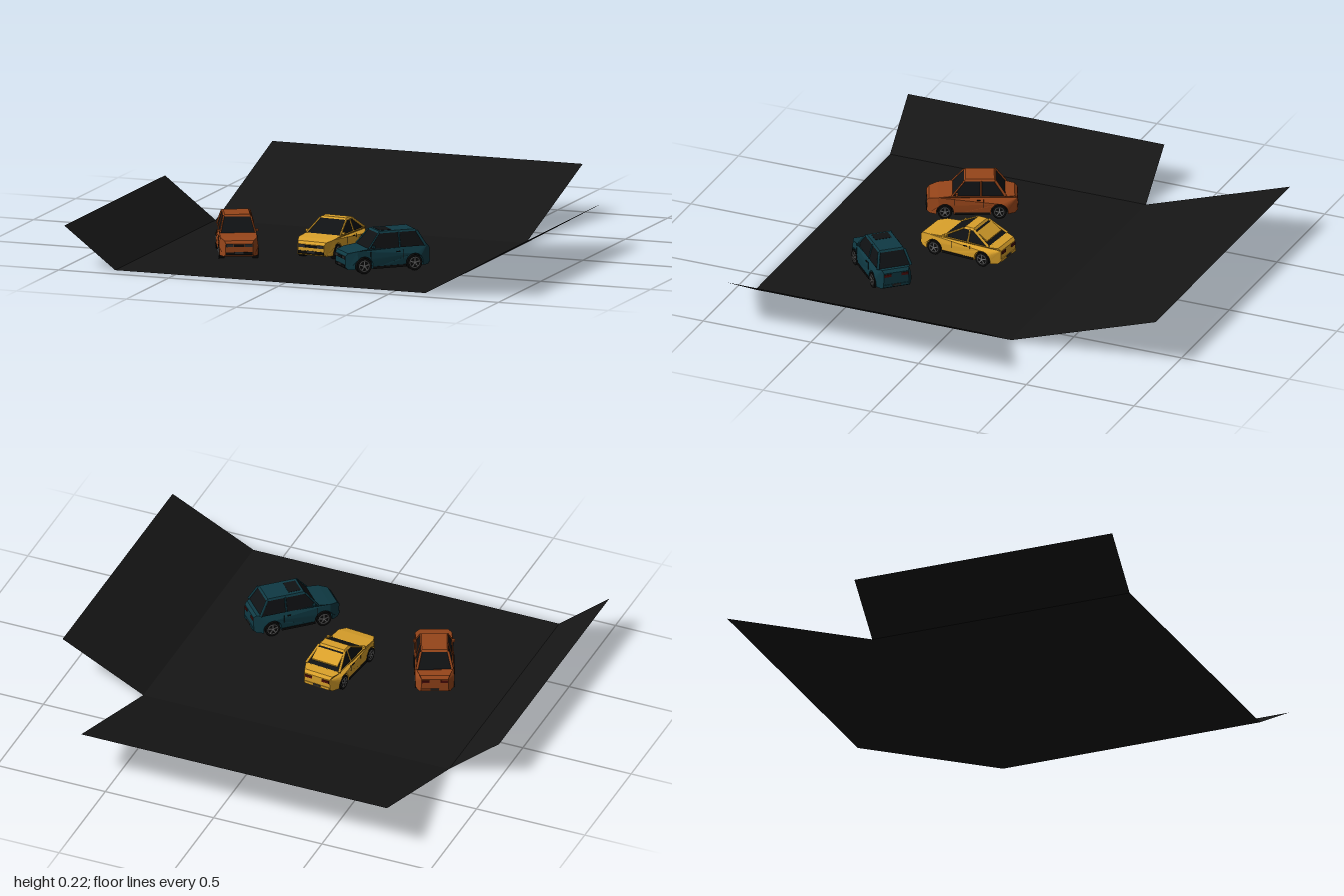
import * as THREE from 'three';

const mat = (color, extra = {}) => new THREE.MeshStandardMaterial({ color, ...extra });
const dark = mat(0x0c0c0c), glass = mat(0x101214), metal = mat(0x777777), lamp = mat(0x2a2a2a), red = mat(0x4a0c08);
const floorMat = mat(0x161616, { side: THREE.DoubleSide });

function add(parent, name, geometry, material, x = 0, y = 0, z = 0) {
  const m = new THREE.Mesh(geometry, material);
  m.name = name;
  m.position.set(x, y, z);
  parent.add(m);
  return m;
}

// Flat four-cornered sheet
function sheet(parent, name, [a, b, c, d]) {
  const g = new THREE.BufferGeometry();
  g.setAttribute('position', new THREE.Float32BufferAttribute([a, b, c, a, c, d].flat(), 3));
  g.computeVertexNormals();
  return add(parent, name, g, floorMat);
}

// Box whose lower and upper rectangles differ: each is [half width, rear z, front z, rear y, front y]
function frustum(low, high) {
  const g = new THREE.BoxGeometry(1, 1, 1);
  const p = g.attributes.position;
  for (let i = 0; i < p.count; i++) {
    const [w, z0, z1, y0, y1] = p.getY(i) > 0 ? high : low;
    const front = p.getZ(i) > 0;
    p.setXYZ(i, Math.sign(p.getX(i)) * w, front ? y1 : y0, front ? z1 : z0);
  }
  g.computeVertexNormals();
  return g;
}

// Thin post between two points
function post(parent, name, a, b, r, material) {
  const A = new THREE.Vector3(...a), B = new THREE.Vector3(...b);
  const m = add(parent, name, new THREE.CylinderGeometry(r, r, A.distanceTo(B), 6), material);
  m.position.copy(A).lerp(B, 0.5);
  m.quaternion.setFromUnitVectors(new THREE.Vector3(0, 1, 0), B.sub(A).normalize());
}

function makeWheel(r, side) {
  const g = new THREE.Group();
  g.name = 'wheel';
  add(g, 'tyre', new THREE.CylinderGeometry(r, r, 0.024, 20).rotateZ(Math.PI / 2), dark);
  add(g, 'rim', new THREE.TorusGeometry(r * 0.66, r * 0.07, 6, 20).rotateY(Math.PI / 2), metal, side * 0.0125);
  for (let i = 0; i < 5; i++) {
    const spoke = add(g, 'spoke', new THREE.BoxGeometry(0.003, r * 0.64, r * 0.14).translate(0, r * 0.32, 0), metal, side * 0.0125);
    spoke.rotation.x = i * Math.PI * 2 / 5;
  }
  return g;
}

function makeCar(name, o) {
  const car = new THREE.Group();
  car.name = name;
  const paint = mat(o.color), h = o.length / 2, w = o.width / 2, r = o.wheel;
  const axles = [h * 0.6, -h * 0.6], arch = r * 1.17;

  // Side outline with wheel arches, extruded across the car
  const s = new THREE.Shape();
  s.moveTo(-h, 0.03);
  s.lineTo(-h, o.trunk - 0.012);
  s.lineTo(-h * 0.94, o.trunk);
  s.lineTo(-h * 0.72, o.trunk + 0.003);
  s.lineTo(o.glassRear, o.belt);
  s.lineTo(o.glassFront, o.belt);
  s.lineTo(h * 0.76, o.hood + 0.004);
  s.lineTo(h * 0.95, o.hood - 0.004);
  s.lineTo(h, o.hood - 0.016);
  s.lineTo(h, 0.03);
  s.lineTo(h * 0.95, 0.02);
  for (const z of axles) {
    s.lineTo(z + arch, 0.02);
    s.absarc(z, r, arch, 0, Math.PI, false);
    s.lineTo(z - arch, 0.02);
  }
  s.lineTo(-h * 0.95, 0.02);
  const body = new THREE.ExtrudeGeometry(s, { depth: o.width, bevelEnabled: false, curveSegments: 8 });
  body.rotateY(-Math.PI / 2).translate(w, 0, 0);
  // Narrow the nose, tail and shoulders
  const taper = (y, z) => (1 - 0.3 * Math.max(0, (Math.abs(z) / h - 0.74) / 0.26) ** 1.4)
    * (1 - 1.6 * Math.max(0, y - 0.06));
  const p = body.attributes.position;
  for (let i = 0; i < p.count; i++) p.setX(i, p.getX(i) * taper(p.getY(i), p.getZ(i)));
  body.computeVertexNormals();
  add(car, 'body', body, paint);
  add(car, 'underbody', new THREE.BoxGeometry(o.width * 0.7, 0.05, o.length * 0.86), dark, 0, 0.045);

  // Cabin glass, roof and pillars
  const wb = w * 0.9, wt = w * 0.69, top = o.height, by = o.belt;
  add(car, 'windows', frustum([wb, o.glassRear, o.glassFront, by - 0.002, by - 0.002],
    [wt, o.roofRear, o.roofFront, top - 0.006, top - 0.006]), glass);
  add(car, 'roof', frustum([wt + 0.002, o.roofRear - 0.003, o.roofFront + 0.003, top - 0.008, top - 0.008],
    [wt - 0.004, o.roofRear + 0.004, o.roofFront - 0.004, top, top]), paint);
  if (o.sunroof) add(car, 'sunroof', new THREE.BoxGeometry(wt * 1.3, 0.002, 0.055), glass, 0, top, o.roofFront - 0.04);
  for (const x of [1, -1]) {
    post(car, 'frontPillar', [x * wb, by, o.glassFront], [x * wt, top - 0.006, o.roofFront], 0.004, paint);
    post(car, 'rearPillar', [x * wb, by, o.glassRear], [x * wt, top - 0.006, o.roofRear], 0.006, paint);
    const mid = (o.roofFront + o.roofRear) / 2 - 0.005;
    post(car, 'middlePillar', [x * wb, by, mid], [x * wt, top - 0.006, mid], 0.004, paint);
    add(car, 'mirror', new THREE.BoxGeometry(0.014, 0.01, 0.01), paint, x * (wb + 0.006), by + 0.008, o.glassFront - 0.02);
    add(car, 'sill', new THREE.BoxGeometry(0.006, 0.01, h * 0.78), dark, x * w, 0.025, 0);
    add(car, 'doorHandle', new THREE.BoxGeometry(0.004, 0.004, 0.016), dark, x * w * 0.985, by - 0.018, mid + 0.01);
    for (const z of [o.roofFront + 0.045, mid - 0.012])
      add(car, 'doorSeam', new THREE.BoxGeometry(0.002, by - 0.045, 0.002), dark, x * w * 0.985, by * 0.5 + 0.01, z);
    add(car, 'headlight', new THREE.BoxGeometry(w * 0.36, 0.013, 0.008), lamp, x * w * 0.48, o.hood - 0.023, h - 0.001);
    add(car, 'tailLight', new THREE.BoxGeometry(w * 0.38, 0.012, 0.006), red, x * w * 0.46, o.trunk - 0.023, -h);
    for (const z of axles) {
      const wheel = makeWheel(r, x);
      wheel.position.set(x * (w - 0.012), r, z);
      car.add(wheel);
    }
  }

  // Slanted panel across the rear window
  if (o.rearPanel) {
    const at = z => by + (top - 0.006 - by) * (z - o.glassRear) / (o.roofRear - o.glassRear);
    const [z0, z1] = o.rearPanel;
    add(car, 'rearPanel', frustum([wt, z0, z1, at(z0), at(z1)], [wt, z0, z1, at(z0) + 0.005, at(z1) + 0.005]), paint);
  }

  // Grille, bumpers and plates
  add(car, 'grille', new THREE.BoxGeometry(w * 0.55, 0.011, 0.006), dark, 0, o.hood - 0.024, h);
  for (const e of [1, -1]) {
    add(car, 'bumper', new THREE.BoxGeometry(w * 1.36, 0.012, 0.012), e > 0 ? dark : paint, 0, 0.034, e * (h - 0.003));
    add(car, 'plate', new THREE.BoxGeometry(0.036, 0.009, 0.003), lamp, 0, 0.037, e * (h + 0.004));
  }
  car.position.set(o.x, 0.002, o.z);
  car.rotation.y = o.turn;
  return car;
}

export function createModel() {
  const model = new THREE.Group();
  model.name = 'carDisplay';

  // Floor with three outward-leaning flaps
  const L = -0.775, R = 0.637, B = -0.27, F = 0.918;
  sheet(model, 'floor', [[L, 0, B], [L, 0, F], [R, 0, F], [R, 0, B]]);
  sheet(model, 'backFlap', [[L, 0.22, -0.94], [L, 0, B], [R, 0, B], [R, 0.22, -0.94]]);
  sheet(model, 'rightFlap', [[-1, 0.18, -0.256], [-1, 0.18, 0.934], [L, 0, F], [L, 0, B]]);
  sheet(model, 'leftFlap', [[R, 0, B], [R, 0, F], [1, 0.205, 0.895], [1, 0.205, -0.292]]);

  model.add(makeCar('orangeSaloon', {
    color: 0x96451a, x: -0.427, z: 0.383, turn: 0.42, length: 0.385, width: 0.168, wheel: 0.031,
    height: 0.172, belt: 0.103, hood: 0.092, trunk: 0.098,
    glassRear: -0.142, glassFront: 0.085, roofRear: -0.098, roofFront: 0.032 }));
  model.add(makeCar('yellowCoupe', {
    color: 0xd9a02a, x: -0.052, z: 0.235, turn: -0.1, length: 0.39, width: 0.178, wheel: 0.032,
    height: 0.152, belt: 0.094, hood: 0.084, trunk: 0.09,
    glassRear: -0.145, glassFront: 0.08, roofRear: -0.064, roofFront: -0.015, rearPanel: [-0.127, -0.077] }));
  model.add(makeCar('tealHatchback', {
    color: 0x0f3a44, x: 0.277, z: 0.492, turn: -0.82, length: 0.385, width: 0.165, wheel: 0.034,
    height: 0.174, belt: 0.105, hood: 0.094, trunk: 0.105,
    glassRear: -0.168, glassFront: 0.092, roofRear: -0.132, roofFront: 0.04, sunroof: true }));
  return model;
}
